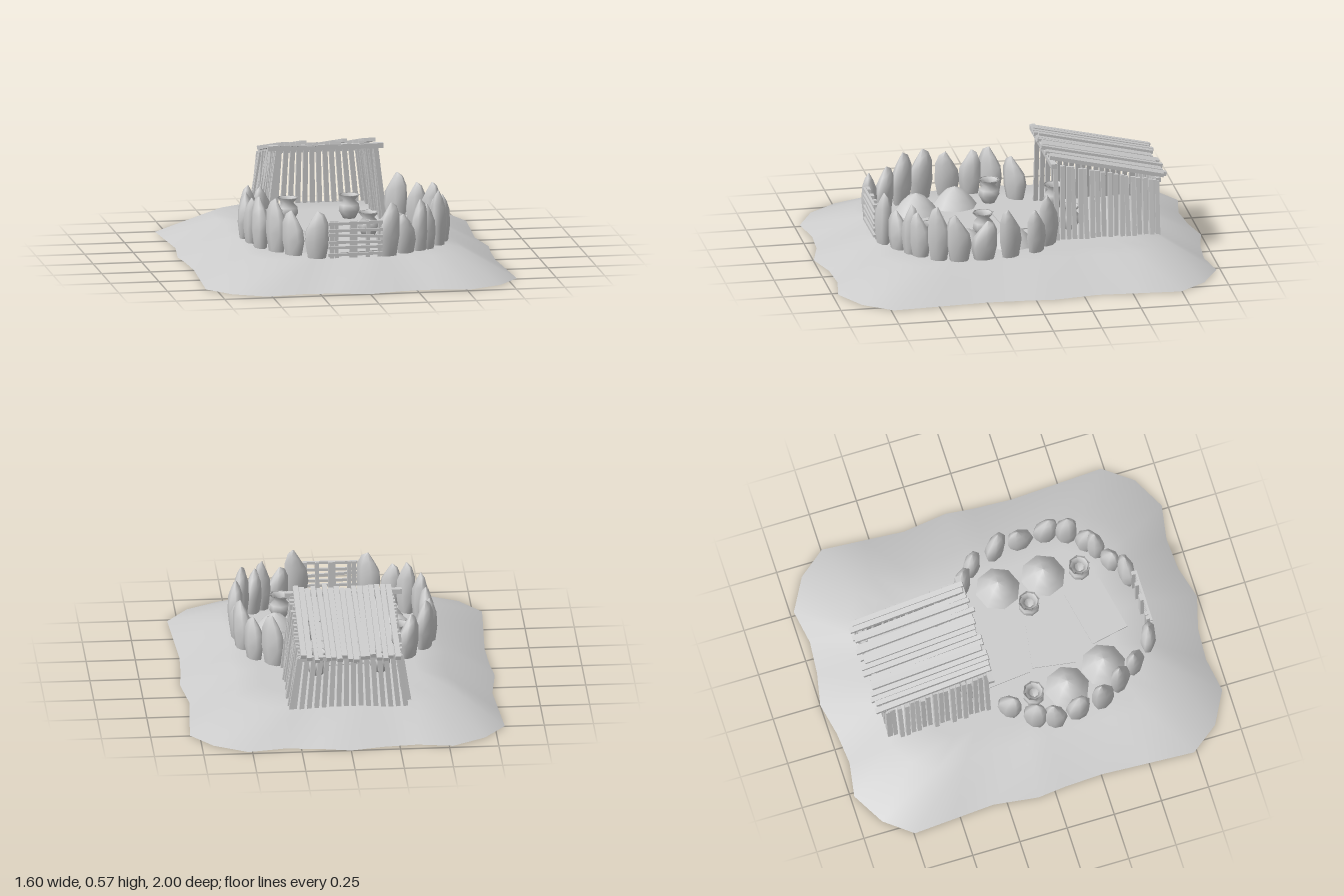
import * as THREE from 'three';

export function createModel() {
  const root = new THREE.Group();
  const mat = new THREE.MeshStandardMaterial({ color: 0xcccccc });
  const flat = new THREE.MeshStandardMaterial({ color: 0xcccccc, flatShading: true });
  const sheet = new THREE.MeshStandardMaterial({ color: 0xcccccc, side: THREE.DoubleSide });
  const TOP = 0.13;
  let seed = 7;
  const rnd = (a, b) => {
    seed = (seed * 16807) % 2147483647;
    return a + (b - a) * seed / 2147483647;
  };
  const group = (name) => {
    const g = new THREE.Group();
    g.name = name;
    root.add(g);
    return g;
  };
  const add = (parent, name, geo, m, x = 0, y = 0, z = 0) => {
    const mesh = new THREE.Mesh(geo, m);
    mesh.name = name;
    mesh.position.set(x, y, z);
    parent.add(mesh);
    return mesh;
  };
  // A straight timber running from a to b
  const UP = new THREE.Vector3(0, 1, 0);
  const timber = (parent, name, a, b, w, d) => {
    const p = new THREE.Vector3(...a), q = new THREE.Vector3(...b);
    const dir = q.clone().sub(p);
    const mesh = add(parent, name, new THREE.BoxGeometry(w, dir.length(), d), flat);
    mesh.position.copy(p).add(q).multiplyScalar(0.5);
    mesh.quaternion.setFromUnitVectors(UP, dir.normalize());
    return mesh;
  };

  // Mound of earth: wavy foot, flat top, open underneath
  const half = [[0, 0.997], [0.17, 0.95], [0.34, 0.94], [0.52, 0.97], [0.69, 0.88], [0.8, 0.735],
    [0.788, 0.5], [0.775, 0.25], [0.785, 0.05], [0.8, -0.09], [0.77, -0.32], [0.785, -0.53],
    [0.8, -0.745], [0.69, -0.885], [0.52, -0.98], [0.34, -0.95], [0.17, -0.965], [0, -1]];
  const outline = half.concat(half.slice(1, -1).reverse().map(([x, z]) => [-x, z]));
  const n = outline.length, pos = [], idx = [];
  for (const [sx, sz, y] of [[1, 1, 0], [0.69, 0.75, TOP], [0.5, 0.55, TOP]])
    for (const [x, z] of outline) pos.push(x * sx, y, z * sz);
  pos.push(0, TOP, 0);
  for (let i = 0; i < n; i++) {
    const j = (i + 1) % n;
    for (const r of [0, n]) idx.push(r + i, r + j, r + n + j, r + i, r + n + j, r + n + i);
    idx.push(2 * n + i, 2 * n + j, 3 * n);
  }
  const ground = new THREE.BufferGeometry();
  ground.setAttribute('position', new THREE.Float32BufferAttribute(pos, 3));
  ground.setIndex(idx);
  ground.computeVertexNormals();
  add(root, 'ground', ground, sheet);

  // Thin paving slabs in the yard
  const paving = group('paving');
  for (const [x, z, w, d, a] of [[-0.05, -0.08, 0.3, 0.24, 0.1], [-0.06, 0.2, 0.26, 0.22, -0.15],
    [0.03, 0.47, 0.3, 0.2, 0.2]])
    add(paving, 'slab', new THREE.BoxGeometry(w, 0.012, d), flat, x, TOP, z).rotation.y = a;

  // Pointed standing stones: x, z, top height, width
  const stones = group('stoneRing');
  const profile = [[0, 0.25], [0.12, 0.72], [0.45, 1], [0.72, 0.92], [0.88, 0.55], [1, 0.06]];
  const stone = (x, z, top, width) => {
    const sides = 7, base = 0.085, h = top - base, p = [], f = [];
    const lean = rnd(-0.35, 0.35);
    for (const [t, r] of profile) {
      for (let k = 0; k < sides; k++) {
        const a = k / sides * Math.PI * 2 + 0.3;
        const off = t > 0.6 ? lean * (t - 0.6) / 0.4 : 0;
        const tilt = t > 0.5 && t < 0.95 ? Math.cos(a) * Math.sign(lean) * 0.07 : 0;
        p.push(width * (Math.cos(a) * r + off) / 2, (t + tilt) * h, Math.sin(a) * r * 0.04);
      }
    }
    const rows = profile.length;
    p.push(0, 0, 0, width * lean / 2, h, 0);
    for (let k = 0; k < sides; k++) {
      const m = (k + 1) % sides;
      for (let r = 0; r < rows - 1; r++) {
        const a = r * sides + k, b = r * sides + m;
        f.push(a, a + sides, b, b, a + sides, b + sides);
      }
      f.push(rows * sides, k, m, rows * sides + 1, (rows - 1) * sides + m, (rows - 1) * sides + k);
    }
    const geo = new THREE.BufferGeometry();
    geo.setAttribute('position', new THREE.Float32BufferAttribute(p, 3));
    geo.setIndex(f);
    geo.computeVertexNormals();
    // Broad face turned along the ring
    const tx = -(z - 0.25) / 0.22, tz = x / 0.24;
    add(stones, 'standingStone', geo, mat, x, base, z).rotation.y = Math.atan2(-tz, tx) + rnd(-0.15, 0.15);
  };
  [[-0.36, -0.11, 0.35, 0.13], [-0.45, 0, 0.38, 0.13], [-0.485, 0.1, 0.36, 0.12], [-0.475, 0.22, 0.36, 0.13],
    [-0.455, 0.36, 0.39, 0.13], [-0.39, 0.47, 0.4, 0.13], [-0.32, 0.57, 0.355, 0.13], [-0.22, 0.67, 0.37, 0.13],
    [0.33, -0.15, 0.39, 0.14], [0.42, -0.07, 0.35, 0.12], [0.47, 0.07, 0.38, 0.13], [0.485, 0.21, 0.33, 0.14],
    [0.485, 0.34, 0.37, 0.13], [0.45, 0.44, 0.41, 0.12], [0.38, 0.52, 0.36, 0.11], [0.33, 0.56, 0.39, 0.1],
    [0.25, 0.61, 0.33, 0.12], [0.15, 0.67, 0.4, 0.13]].forEach((s) => stone(...s));

  // Lattice gate at the front
  const gate = group('gate');
  for (const x of [-0.145, -0.12, -0.045, -0.025, 0.04, 0.1])
    timber(gate, 'gatePost', [x, 0.12, 0.69], [x + rnd(-0.006, 0.006), 0.32, 0.69], 0.02, 0.018);
  for (let i = 0; i < 6; i++) {
    const y = 0.155 + i * 0.03;
    timber(gate, 'gateRail', [-0.165, y + rnd(-0.008, 0.008), 0.705],
      [0.115, y + rnd(-0.008, 0.008), 0.705], 0.014, 0.012);
  }

  // Lean-to hut, open at the front, with a sloping pole roof
  const hut = group('hut');
  const cx = -0.015;
  const roofY = (z) => 0.54 + (z + 0.17) * 0.23;
  for (const s of [-1, 1]) {
    for (let i = 0; i < 18; i++) {
      const z = -0.205 - i * 0.0305;
      timber(hut, 'sidePost', [cx + s * rnd(0.285, 0.31), 0.105, z],
        [cx + s * rnd(0.245, 0.26), roofY(z) - 0.012, z + rnd(-0.006, 0.006)], 0.024, 0.022);
    }
  }
  for (let i = 0; i < 16; i++) {
    const t = i / 15 * 2 - 1;
    timber(hut, 'backPost', [cx + t * 0.285, 0.105, -0.72],
      [cx + t * 0.25, roofY(-0.72) - 0.01, -0.72 + rnd(-0.005, 0.005)], 0.024, 0.022);
  }
  timber(hut, 'frontBeam', [-0.32, 0.526, -0.19], [0.275, 0.522, -0.19], 0.026, 0.028);
  timber(hut, 'backBeam', [-0.27, 0.4, -0.735], [0.24, 0.4, -0.735], 0.024, 0.024);
  for (let i = 0; i < 17; i++) {
    const x = -0.252 + i * 0.0295, z0 = rnd(-0.19, -0.16), z1 = rnd(-0.79, -0.76), dy = rnd(0.002, 0.018);
    timber(hut, 'roofPole', [x, roofY(z0) + dy, z0], [x + rnd(-0.006, 0.006), roofY(z1) + dy, z1],
      rnd(0.023, 0.029), 0.02);
  }

  // Low eight-sided heaps in the yard
  const lathe = (pts, sides) => new THREE.LatheGeometry(pts.map(([r, y]) => new THREE.Vector2(r, y)), sides);
  const heapGeo = lathe([[0.115, 0], [0.085, 0.04], [0.045, 0.08], [0, 0.1]], 8);
  const heaps = group('heaps');
  for (const [x, z] of [[0.29, 0.03], [0.29, 0.27], [-0.32, 0.21], [-0.26, 0.42]])
    add(heaps, 'heap', heapGeo, sheet, x, TOP, z);

  // Jars with a narrow neck and flared rim
  const jarGeo = lathe([[0, 0], [0.032, 0], [0.054, 0.04], [0.05, 0.07], [0.03, 0.092], [0.055, 0.12],
    [0.043, 0.12], [0.024, 0.092], [0.04, 0.06], [0, 0.02]], 8);
  const jars = group('jars');
  for (const [x, z] of [[-0.33, 0.03], [0.14, 0.15], [0.25, 0.45], [-0.2, -0.28], [0.12, -0.3]])
    add(jars, 'jar', jarGeo, sheet, x, TOP, z);

  return root;
}
